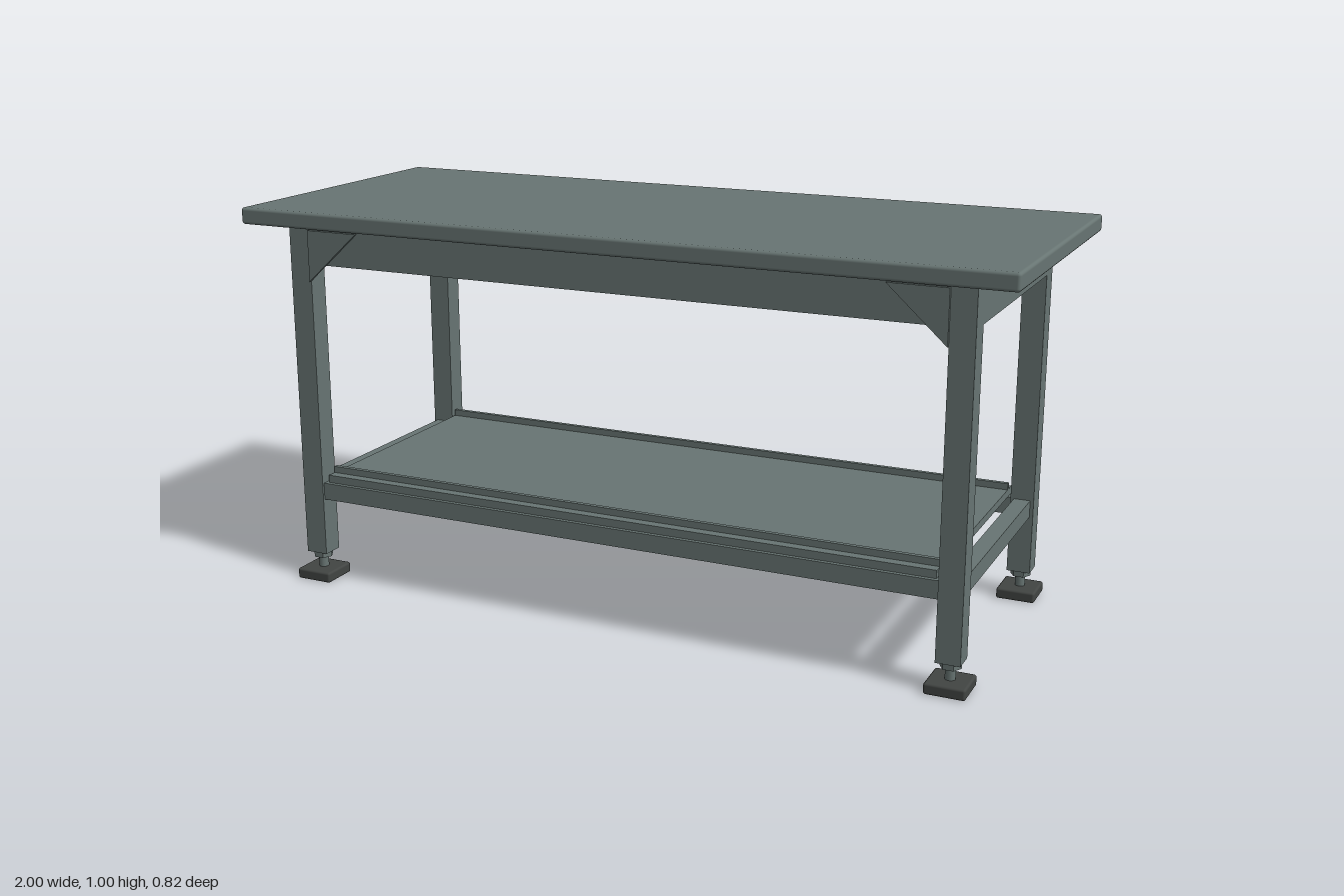
import * as THREE from 'three';
import { RoundedBoxGeometry } from 'three/addons/geometries/RoundedBoxGeometry.js';

export function createModel() {
  const table = new THREE.Group();
  table.name = 'workbench';

  const steel = new THREE.MeshStandardMaterial({ color: 0x687573 });
  steel.name = 'grey green steel';
  const rubber = new THREE.MeshStandardMaterial({ color: 0x424543 });
  rubber.name = 'dark rubber';

  const add = (name, geometry, x, y, z, material = steel, parent = table) => {
    const mesh = new THREE.Mesh(geometry, material);
    mesh.name = name;
    mesh.position.set(x, y, z);
    parent.add(mesh);
    return mesh;
  };
  const box = (name, w, y0, y1, d, x, z, parent) =>
    add(name, new THREE.BoxGeometry(w, y1 - y0, d), x, (y0 + y1) / 2, z, steel, parent);

  const legX = 0.866, legZ = 0.3235;   // leg centres
  const legW = 0.06, legD = 0.057;     // leg section
  const innerX = legX - legW / 2, innerZ = legZ - legD / 2;

  // Tabletop with softened edges
  add('tabletop', new RoundedBoxGeometry(2, 0.043, 0.82, 2, 0.008), 0, 0.9785, 0);

  // Corner brace: thin triangle with its right angle at the origin
  const brace = new THREE.Shape([
    new THREE.Vector2(0, 0), new THREE.Vector2(0, -0.132), new THREE.Vector2(0.145, 0),
  ]);
  const braceGeometry = new THREE.ExtrudeGeometry(brace, { depth: 0.008, bevelEnabled: false });

  for (const sx of [-1, 1]) {
    for (const sz of [-1, 1]) {
      // Leg with its levelling foot
      const leg = new THREE.Group();
      leg.name = 'leg';
      leg.position.set(sx * legX, 0, sz * legZ);
      table.add(leg);
      box('legPost', legW, 0.073, 0.957, legD, 0, 0, leg);
      const nut = add('footNut', new THREE.CylinderGeometry(0.026, 0.026, 0.016, 6).toNonIndexed(), 0, 0.065, 0, steel, leg);
      nut.geometry.rotateY(Math.PI / 6);
      nut.geometry.computeVertexNormals();
      add('footStem', new THREE.CylinderGeometry(0.013, 0.013, 0.036, 12), 0, 0.042, 0, steel, leg);
      add('footPad', new RoundedBoxGeometry(0.1, 0.028, 0.1, 2, 0.006), 0, 0.014, 0, rubber, leg);

      // Brace lies on the outside of the long apron, turned to face out on each side
      const mesh = add('cornerBrace', braceGeometry, sx * innerX, 0.945, sz * (legZ + legD / 2));
      if (sx === sz) {
        // Right angle on the viewer's right: the triangle is turned about y and set back out
        mesh.rotation.y = Math.PI;
        mesh.position.z += sz > 0 ? 0.008 : 0;
      } else {
        mesh.position.z -= sz < 0 ? 0.008 : 0;
      }
      if (sx > 0) mesh.rotation.y = Math.PI;
      else mesh.rotation.y = 0;
      mesh.position.z = sz * (legZ + legD / 2 + 0.004) + (sx > 0 ? 0.004 : -0.004);
    }
  }

  // Long aprons, shelf rails and shelf lips, front and back
  for (const s of [-1, 1]) {
    box('longApron', innerX * 2, 0.857, 0.957, legD, 0, s * legZ);
    box('longShelfRail', innerX * 2, 0.225, 0.27, 0.045, 0, s * legZ);
    box('shelfLip', 1.654, 0.29, 0.307, 0.012, 0, s * 0.303);
  }

  // Short aprons and shelf rails at both ends
  for (const s of [-1, 1]) {
    box('endApron', legW, 0.857, 0.957, innerZ * 2, s * legX, 0);
    box('endShelfRail', 0.042, 0.225, 0.27, innerZ * 2, s * legX, 0);
  }

  // Shelf board, stopping just short of the end rails
  box('shelf', 1.654, 0.27, 0.29, 0.67, 0, 0);

  return table;
}
